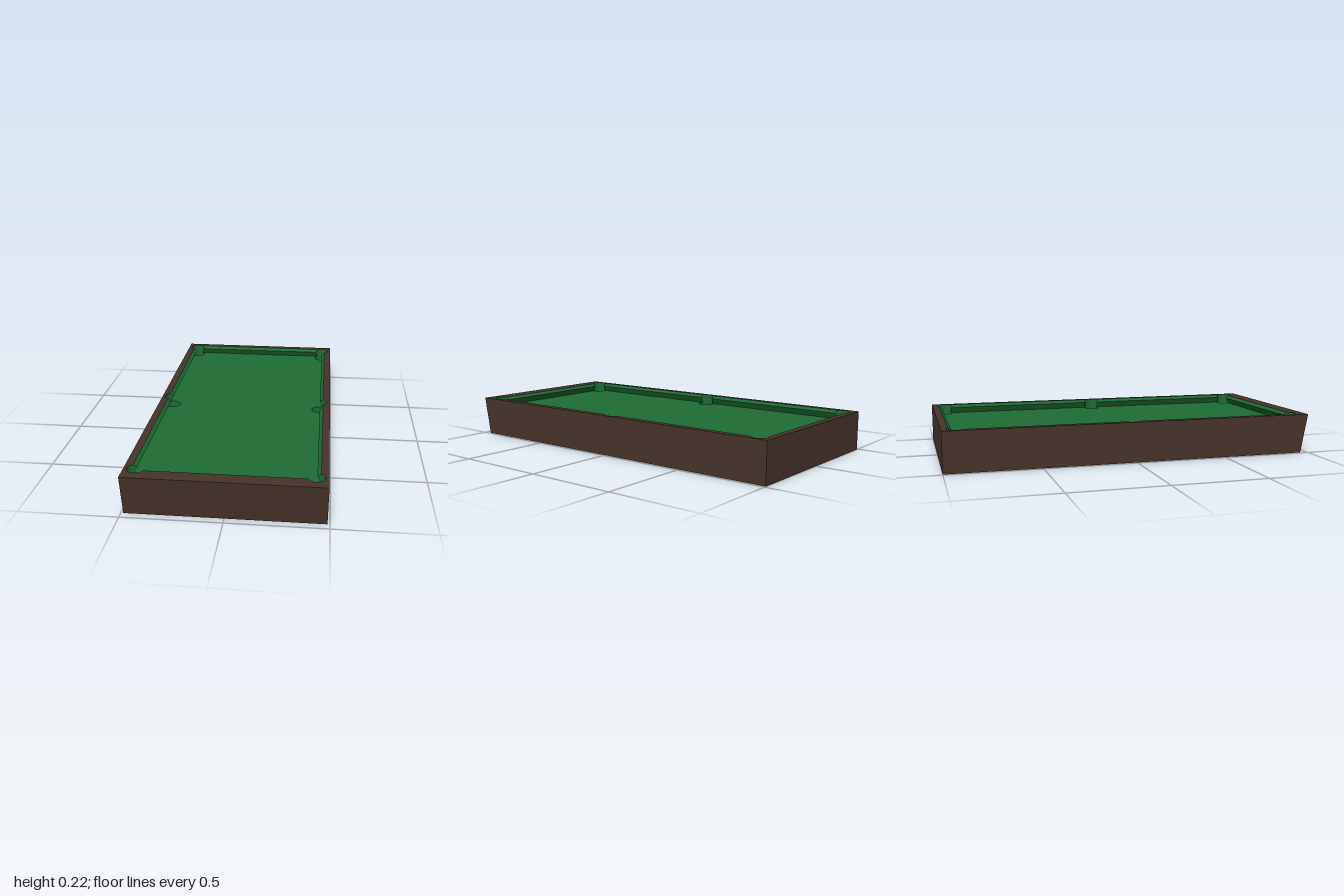
import * as THREE from 'three';

const W = 0.488, H = 0.215, BED = 0.166;       // half width, rail height, cloth height
const X = 0.45, ZB = -0.962, ZF = 0.92;        // inner edge of the rails
const PX = 0.429, PZ = [-0.93, -0.012, 0.905], R = 0.043; // pockets
const FOOT = 0.96;                             // front wall leans back to here at the floor
const LIP = [[0, H], [0.018, 0.2], [0, BED]];  // cushion profile: inset, height

export function createModel() {
  const wood = new THREE.MeshStandardMaterial({ color: 0x48342b });
  wood.name = 'dark wood';
  const felt = new THREE.MeshStandardMaterial({ color: 0x1e6c34, side: THREE.DoubleSide });
  felt.name = 'green felt';
  const model = new THREE.Group();
  model.name = 'poolTable';

  const add = (name, geometry, material) => {
    const mesh = new THREE.Mesh(geometry, material);
    mesh.name = name;
    model.add(mesh);
    return mesh;
  };
  // flat faces from quads (4 corners) and triangles (3 corners)
  const faces = (list) => {
    const pos = [];
    for (const f of list)
      for (let i = 1; i < f.length - 1; i++) pos.push(...f[0], ...f[i], ...f[i + 1]);
    const g = new THREE.BufferGeometry();
    g.setAttribute('position', new THREE.Float32BufferAttribute(pos, 3));
    g.computeVertexNormals();
    return g;
  };
  // horizontal plates are drawn as (x, -z)
  const flat = (pts) => pts.map(([x, z]) => new THREE.Vector2(x, -z));
  const rect = (back, front) => new THREE.Shape(flat([[-W, front], [W, front], [W, back], [-W, back]]));
  const plate = (shape, y) =>
    new THREE.ShapeGeometry(shape, 32).rotateX(-Math.PI / 2).translate(0, y, 0);

  // arcs of the pockets outside (turn 0) or inside (turn 2 pi) the rails' inner edge, as lists of [x, z]
  const side = Math.acos((X - PX) / R);
  const backEnd = Math.PI - Math.asin((PZ[0] - ZB) / R);
  const frontEnd = Math.PI - Math.asin((ZF - PZ[2]) / R);
  const arcs = (turn) => [
    [1, PZ[1], -1, side, false], [1, PZ[0], -1, backEnd, false],
    [-1, PZ[0], -1, backEnd, true], [-1, PZ[1], -1, side, true],
    [-1, PZ[2], 1, frontEnd, false], [1, PZ[2], 1, frontEnd, true],
  ].map(([sx, pz, ez, end, reverse]) => {
    const pts = [];
    for (let i = 0; i <= 20; i++) {
      const a = -side + (end + side - turn) * i / 20;
      pts.push([sx * (PX + R * Math.cos(a)), pz + ez * R * Math.sin(a)]);
    }
    return reverse ? pts.reverse() : pts;
  });
  const notches = arcs(0);

  // wooden rail top, underside and outer walls
  const rail = rect(-1, 1);
  rail.holes.push(new THREE.Path(flat(notches.flat())));
  add('railTop', plate(rail, H), wood);

  const pockets = [-1, 1].flatMap(s => PZ.map(z => [s * PX, z]));
  const floor = rect(-1, FOOT);
  for (const [x, z] of pockets)
    floor.holes.push(new THREE.Path().absarc(x, -z, R, 0, Math.PI * 2, true));
  const underside = plate(floor, 0);
  underside.index.array.reverse();
  underside.computeVertexNormals();
  add('underside', underside, wood);

  const foot = [[-W, 0, FOOT], [W, 0, FOOT], [W, 0, -1], [-W, 0, -1]];
  const top = [[-W, H, 1], [W, H, 1], [W, H, -1], [-W, H, -1]];
  add('outerWalls', faces(foot.map((p, i) => {
    const j = (i + 1) % 4;
    return [p, foot[j], top[j], top[i]];
  })), wood);

  // playing surface, cut back around the pockets
  add('bed', plate(new THREE.Shape(flat(arcs(Math.PI * 2).flat())), BED), felt);

  // pocket tubes below the bed, and their walls cut into the rails
  for (const [x, z] of pockets)
    add('pocketTube', new THREE.CylinderGeometry(R, R, BED, 32, 1, true), felt).position.set(x, BED / 2, z);
  for (const pts of notches)
    add('pocketWall', faces(pts.slice(1).map(([x, z], i) => {
      const [u, v] = pts[i];
      return [[u, BED, v], [x, BED, z], [x, H, z], [u, H, v]];
    })), felt);

  // cushions: each row is a start and end point, with closed ends
  const cushion = (name, rows) => add(name, faces([
    [rows[0][0], rows[0][1], rows[1][1], rows[1][0]],
    [rows[1][0], rows[1][1], rows[2][1], rows[2][0]],
    rows.map(r => r[0]), rows.map(r => r[1])]), felt);
  const chord = (offset) => Math.sqrt(R * R - offset * offset);
  for (const s of [-1, 1])
    for (const k of [0, 1])
      cushion('sideCushion', LIP.map(([d, y]) => {
        const h = chord(X - d - PX);
        return [[s * (X - d), y, PZ[k] + h], [s * (X - d), y, PZ[k + 1] - h]];
      }));
  for (const [edge, pz, dir] of [[ZB, PZ[0], 1], [ZF, PZ[2], -1]])
    cushion('endCushion', LIP.map(([d, y]) => {
      const z = edge + dir * d, x = PX - chord(z - pz);
      return [[-x, y, z], [x, y, z]];
    }));

  return model;
}
